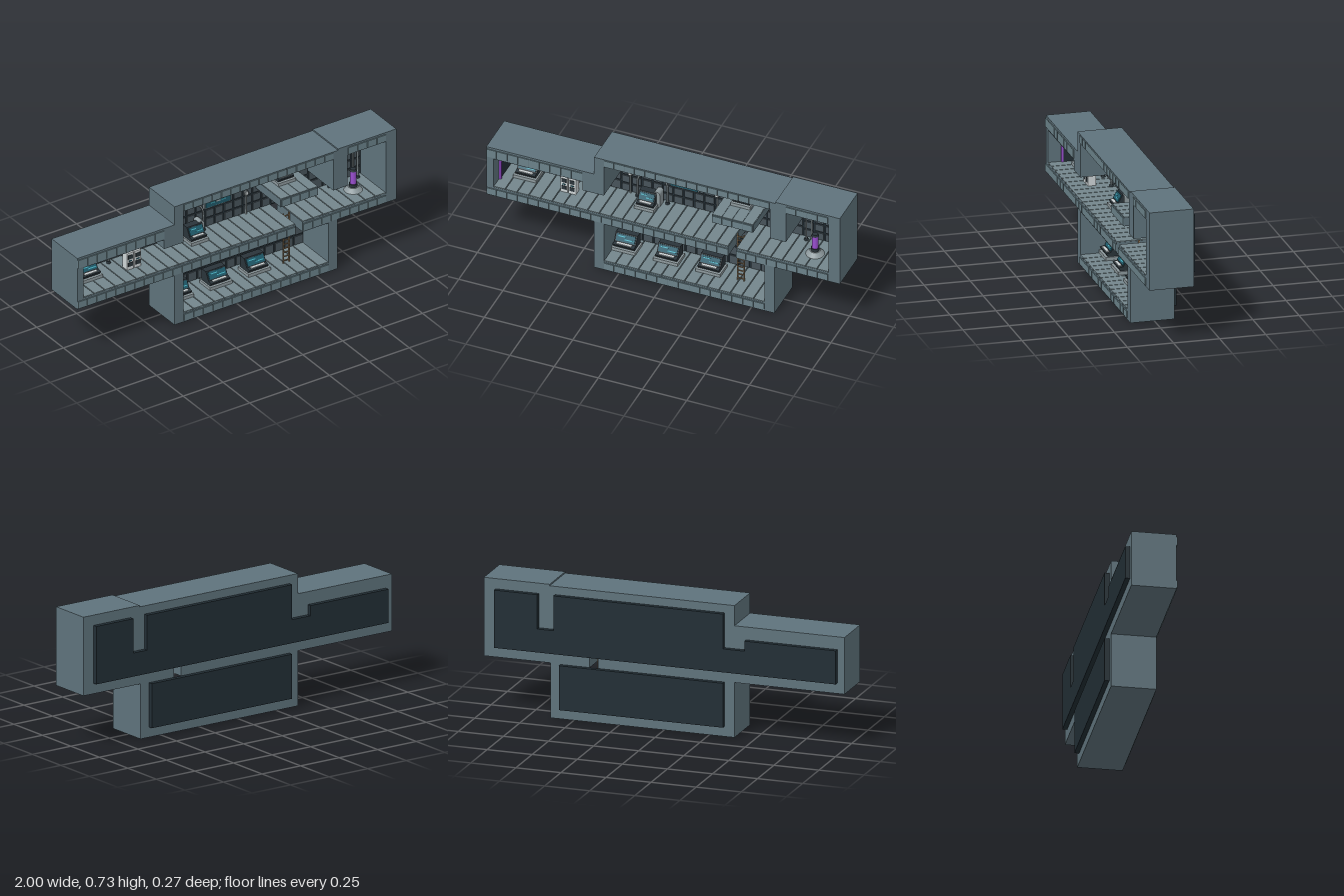
import * as THREE from 'three';
import { mergeGeometries } from 'three/addons/utils/BufferGeometryUtils.js';

const C = { shell: 0x5f737c, trim: 0x6b828a, back: 0x222e35, tile: 0x48545b, floor: 0x74868c, dark: 0x2a343a,
  metal: 0x8d999d, pale: 0xcfd6d8, teal: 0x1f5a6a, glow: 0x49b3c4, amber: 0xc98f3c, purple: 0x9a4fd0, wood: 0x8a7458 };
const BACK = -0.11, FRONT = 0.13, FLOOR = 0.362, LOW = 0.06;
const mats = {};
const mat = (c) => (mats[c] ??= new THREE.MeshStandardMaterial({ color: c }));

function add(parent, name, geo, color, x = 0, y = 0, z = 0) {
  const m = new THREE.Mesh(geo, mat(color));
  m.name = name;
  m.position.set(x, y, z);
  parent.add(m);
  return m;
}
const box = (w, h, d) => new THREE.BoxGeometry(w, h, d);
const cyl = (r0, r1, h, n = 12) => new THREE.CylinderGeometry(r0, r1, h, n);
const slab = (shape, depth) => new THREE.ExtrudeGeometry(shape, { depth, bevelEnabled: false });
const poly = (pts) => new THREE.Shape(pts.map(([x, y]) => new THREE.Vector2(x, y)));

function group(parent, name, x = 0, y = 0, z = 0) {
  const g = new THREE.Group();
  g.name = name;
  g.position.set(x, y, z);
  parent.add(g);
  return g;
}

// Rectangular tile field on a plane facing +z
function tileWall(x0, x1, y0, y1) {
  const nx = Math.max(1, Math.round((x1 - x0) / 0.06)), ny = Math.max(1, Math.round((y1 - y0) / 0.055));
  const w = (x1 - x0) / nx, h = (y1 - y0) / ny, out = [];
  for (let i = 0; i < nx; i++) for (let j = 0; j < ny; j++)
    out.push(box(w - 0.01, h - 0.01, 0.006).translate(x0 + (i + 0.5) * w, y0 + (j + 0.5) * h, BACK + 0.003));
  return out;
}

// Row of plates along x, used for front trim and floor planks
function plateRow(x0, x1, y, h, z, d, pitch = 0.09, gap = 0.005) {
  const n = Math.max(1, Math.round((x1 - x0) / pitch)), w = (x1 - x0) / n, out = [];
  for (let i = 0; i < n; i++) out.push(box(w - gap, h, d).translate(x0 + (i + 0.5) * w, y, z));
  return out;
}

// Control desk with sloped teal screen
function desk(parent, x, y, z, w = 0.13, h = 0.09) {
  const g = group(parent, 'controlDesk', x, y, z);
  add(g, 'deskBase', box(w, 0.018, 0.1), C.metal, 0, 0.009, 0);
  const side = poly([[-0.045, 0.018], [0.035, 0.018], [0.045, 0.035], [0.02, 0.04], [-0.005, h], [-0.045, h]]);
  const body = slab(side, w * 0.86).rotateY(-Math.PI / 2).translate(w * 0.43, 0, 0);
  add(g, 'deskBody', body, C.dark);
  const len = h - 0.045, tilt = -Math.atan2(0.025, h - 0.04);
  const screen = add(g, 'deskScreen', box(w * 0.76, len, 0.006), C.teal, 0, (h + 0.04) / 2, 0.009);
  screen.rotation.x = tilt;
  for (const [dx, dy, l] of [[-0.15, 0.2, 0.3], [0.15, -0.15, 0.35]])
    add(screen, 'readout', box(w * l, 0.005, 0.002), C.glow, dx * w, dy * len, 0.004);
  add(g, 'deskKeys', box(w * 0.6, 0.004, 0.016), C.pale, 0, 0.041, 0.031);
  return g;
}

// Flat wall display with short indicator bars
function display(parent, x, y, w, h, accent) {
  const g = group(parent, 'wallDisplay', x, y, BACK + 0.012);
  add(g, 'displayFrame', box(w, h, 0.016), C.metal);
  add(g, 'displayFace', box(w - 0.012, h - 0.012, 0.006), C.teal, 0, 0, 0.008);
  for (const k of [-1, 0, 1])
    add(g, 'indicator', box(w * 0.16, 0.006, 0.003), k ? C.glow : accent, k * w * 0.2, 0, 0.012);
}

// Pipe arch: two legs and a half ring
function arch(parent, x, y, z, r, top) {
  const g = group(parent, 'pipeArch', x, y, z), leg = top - r;
  add(g, 'archBend', new THREE.TorusGeometry(r, 0.005, 8, 24, Math.PI), C.metal, 0, leg, 0);
  for (const s of [-1, 1]) {
    add(g, 'archLeg', cyl(0.005, 0.005, leg, 8), C.metal, s * r, leg / 2, 0);
    add(g, 'archFoot', cyl(0.01, 0.012, 0.012), C.dark, s * r, 0.006, 0);
  }
}

// Round wall lamp
function lamp(parent, x, y) {
  const g = group(parent, 'wallLamp', x, y, BACK + 0.015);
  add(g, 'lampRing', new THREE.TorusGeometry(0.011, 0.004, 8, 16), C.metal);
  add(g, 'lampLens', cyl(0.009, 0.009, 0.018).rotateX(Math.PI / 2), C.pale);
}

export function createModel() {
  const root = new THREE.Group();
  root.name = 'cutawayBase';

  // Shell: stepped outline pierced by the connected rooms
  const shell = poly([[-0.39, 0], [0.63, 0], [0.63, 0.3], [1, 0.3], [1, 0.728], [0.635, 0.728], [0.635, 0.72],
    [-0.39, 0.72], [-0.39, 0.61], [-1, 0.61], [-1, 0.3], [-0.39, 0.3]]);
  const upper = [[-0.96, 0.357], [-0.96, 0.54], [-0.455, 0.54], [-0.455, 0.485], [-0.335, 0.485], [-0.335, 0.675],
    [0.605, 0.675], [0.605, 0.485], [0.695, 0.485], [0.695, 0.672], [0.935, 0.672], [0.935, 0.357]];
  const lower = [[0.575, 0.297], [0.575, 0.055], [-0.335, 0.055], [-0.335, 0.297]];
  const hatchR = 0.413, hatchL = 0.368;
  shell.holes.push(poly([...upper, [hatchR, 0.357], [hatchR, 0.297], ...lower, [hatchL, 0.297], [hatchL, 0.357]]));
  add(root, 'shell', slab(shell, FRONT - BACK), C.shell, 0, 0, BACK);

  // Raised back panels closing the rooms
  add(root, 'upperBackPanel', slab(poly(upper), 0.025), C.back, 0, 0, BACK - 0.025);
  add(root, 'lowerBackPanel', slab(poly(lower), 0.025), C.back, 0, 0, BACK - 0.025);

  // Tiled rear walls
  const walls = [[-0.96, -0.455, 0.36, 0.54], [-0.455, -0.335, 0.36, 0.485], [-0.335, 0.605, 0.36, 0.675],
    [0.605, 0.695, 0.36, 0.485], [0.695, 0.935, 0.36, 0.672], [-0.335, 0.575, 0.058, 0.297]];
  add(root, 'wallTiles', mergeGeometries(walls.flatMap((r) => tileWall(...r))), C.tile);

  // Floor planks, leaving the hatch open
  const planks = [[-0.96, hatchL, 0.3595], [hatchR, 0.935, 0.3595], [-0.335, 0.575, 0.0575]];
  add(root, 'floorPlanks', mergeGeometries(planks.flatMap(([a, b, y]) =>
    plateRow(a, b, y, 0.005, 0.01, 0.238, 0.065))), C.floor);

  // Platform on the rear wall of the main room
  add(root, 'platform', box(0.235, 0.047, 0.24), C.shell, 0.393, 0.517, 0.01);
  add(root, 'platformPlanks', mergeGeometries(plateRow(0.275, 0.51, 0.541, 0.004, 0.01, 0.238, 0.06)), C.floor);

  // Front trim plates
  const trims = [[-1, -0.455, 0.574, 0.048], [-0.335, 0.605, 0.697, 0.04], [0.695, 0.935, 0.697, 0.04],
    [-1, hatchL, 0.326, 0.04], [hatchR, 0.935, 0.326, 0.04], [-0.335, 0.575, 0.028, 0.038], [0.278, 0.508, 0.516, 0.042]];
  add(root, 'frontTrim', mergeGeometries(trims.flatMap(([a, b, y, h]) =>
    plateRow(a, b, y, h, FRONT + 0.0025, 0.006, 0.06))), C.trim);

  // Lower room: three desks under three displays
  [-0.27, -0.03, 0.21].forEach((x, i) => {
    desk(root, x, LOW, -0.02, 0.14, 0.085);
    display(root, x, 0.201, 0.14, 0.072, [C.glow, C.amber, C.purple][i]);
  });

  // Upper desks and their arches
  desk(root, -0.83, FLOOR, -0.03, 0.13, 0.075);
  display(root, -0.83, 0.465, 0.11, 0.07, C.glow);
  arch(root, -0.83, FLOOR, -0.09, 0.065, 0.155);
  desk(root, -0.155, FLOOR, -0.03, 0.11, 0.085);
  arch(root, -0.15, FLOOR, -0.085, 0.085, 0.18);
  desk(root, 0.39, 0.543, -0.03, 0.11, 0.08);
  arch(root, 0.395, 0.543, -0.085, 0.06, 0.12);
  display(root, 0.028, 0.51, 0.165, 0.06, C.pale);
  arch(root, -0.58, FLOOR, -0.085, 0.08, 0.165);

  // Rounded locker beside the main desk
  const locker = new THREE.Shape();
  locker.moveTo(-0.018, 0).lineTo(0.018, 0).lineTo(0.018, 0.075).absarc(0, 0.075, 0.018, 0, Math.PI, false);
  add(root, 'locker', slab(locker, 0.05), C.metal, -0.108, FLOOR, -0.09);

  // Pale cabinets with dark windows
  for (const x of [-0.602, -0.555]) {
    const g = group(root, 'cabinet', x, FLOOR, 0.01);
    add(g, 'cabinetBody', box(0.04, 0.1, 0.045), C.pale, 0, 0.05, 0);
    for (const y of [0.03, 0.075]) add(g, 'cabinetWindow', box(0.028, 0.024, 0.005), C.dark, 0, y, 0.022);
    add(g, 'cabinetHandle', box(0.018, 0.005, 0.006), C.teal, 0, 0.052, 0.023);
  }

  // Side door with lit posts in the left room
  const door = group(root, 'sideDoor', -0.955, FLOOR, 0);
  add(door, 'doorLeaf', box(0.008, 0.16, 0.15), C.back, 0, 0.08, -0.022);
  for (const z of [-0.1, 0.055]) add(door, 'doorLight', box(0.012, 0.16, 0.01), C.purple, 0.003, 0.08, z);

  // Wall pipes and lamps
  for (const [x, y0, y1] of [[-0.28, 0.36, 0.675], [0.21, 0.36, 0.675], [0.745, 0.36, 0.672], [0.88, 0.36, 0.672]])
    add(root, 'wallPipe', cyl(0.005, 0.005, y1 - y0, 8), C.metal, x, (y0 + y1) / 2, BACK + 0.012);
  for (const [x, y] of [[-0.28, 0.61], [-0.28, 0.49], [0.21, 0.61], [0.21, 0.49], [-0.925, 0.51], [-0.49, 0.52],
    [0.09, 0.258], [0.56, 0.262]]) lamp(root, x, y);

  // Glowing capsule in the right room
  const pod = group(root, 'capsule', 0.81, FLOOR, 0.01);
  add(pod, 'capsuleBase', cyl(0.028, 0.05, 0.022, 20), C.metal, 0, 0.011, 0);
  add(pod, 'capsuleCollar', cyl(0.022, 0.022, 0.018, 20), C.dark, 0, 0.031, 0);
  add(pod, 'capsuleTube', cyl(0.017, 0.017, 0.076, 20), C.purple, 0, 0.078, 0);
  add(pod, 'capsuleCap', cyl(0.016, 0.02, 0.012, 20), C.dark, 0, 0.122, 0);
  arch(root, 0.81, FLOOR, -0.08, 0.088, 0.25);

  // Ladder through the hatch
  const ladder = group(root, 'ladder', 0.39, LOW, 0.01);
  for (const s of [-1, 1]) add(ladder, 'ladderRail', box(0.006, 0.3, 0.008), C.wood, s * 0.018, 0.15, 0);
  for (let i = 0; i < 12; i++) add(ladder, 'ladderRung', box(0.034, 0.005, 0.006), C.wood, 0, 0.015 + i * 0.0245, 0);

  return root;
}
